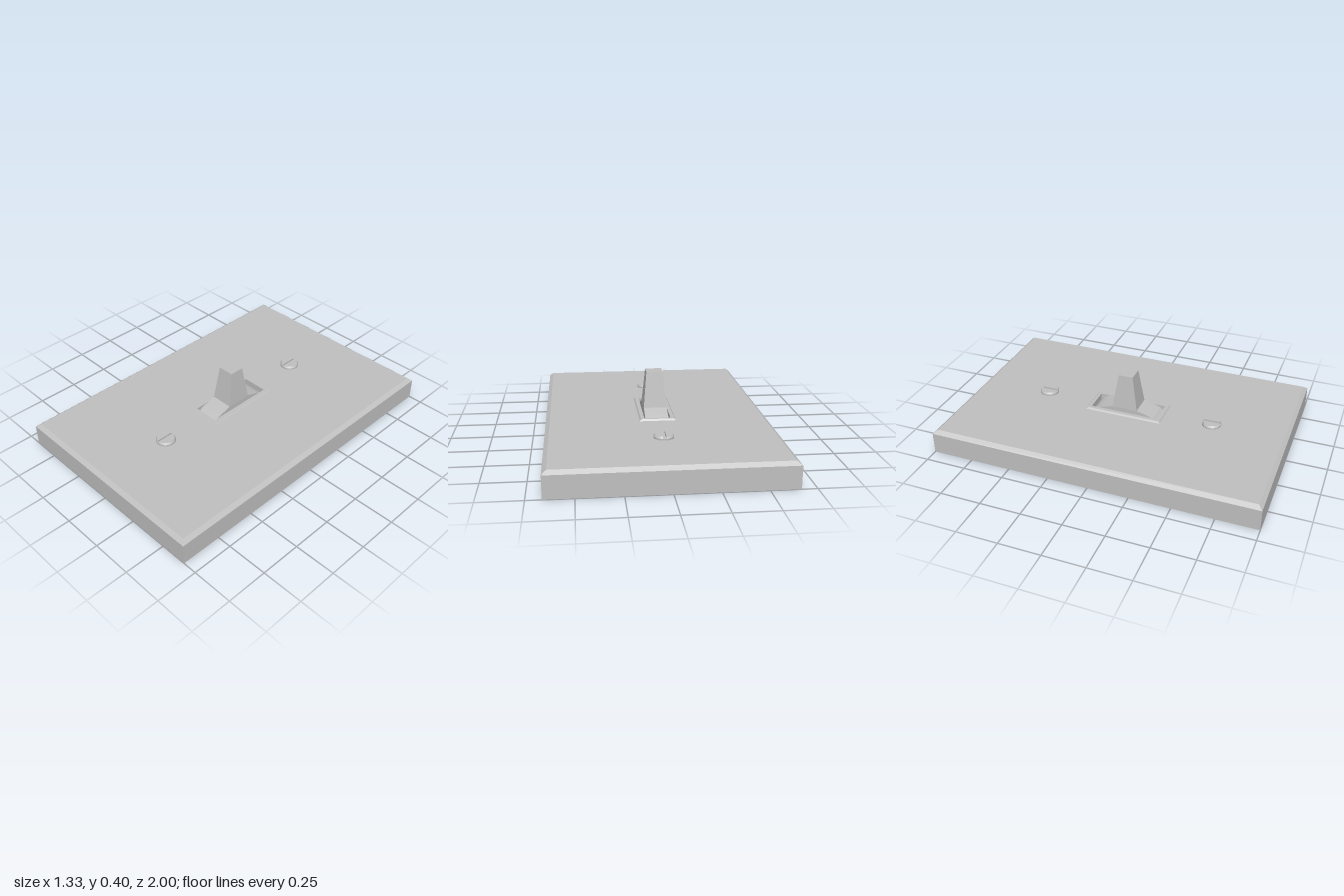
import * as THREE from 'three';

const grey = new THREE.MeshStandardMaterial({ color: 0xc0c0c0 });
grey.name = 'grey';

// Joins rectangular rings [halfX, halfZ, y], listed from the bottom outward and over.
function rectLoft(rings, capStart, capEnd) {
  const pos = [];
  const corners = ([x, z, y]) => [[-x, y, z], [x, y, z], [x, y, -z], [-x, y, -z]];
  const quad = (a, b, c, d) => pos.push(...a, ...b, ...c, ...a, ...c, ...d);
  for (let i = 0; i < rings.length - 1; i++) {
    const lo = corners(rings[i]), hi = corners(rings[i + 1]);
    for (let k = 0; k < 4; k++) {
      const n = (k + 1) % 4;
      quad(lo[k], lo[n], hi[n], hi[k]);
    }
  }
  if (capStart) quad(...corners(rings[0]).reverse());
  if (capEnd) quad(...corners(rings[rings.length - 1]));
  const g = new THREE.BufferGeometry();
  g.setAttribute('position', new THREE.Float32BufferAttribute(pos, 3));
  g.computeVertexNormals();
  return g;
}

function part(name, geometry, parent) {
  const m = new THREE.Mesh(geometry, grey);
  m.name = name;
  parent.add(m);
  return m;
}

// Half of a slotted screw head, narrowing towards its top.
function halfHead(radius, gap, height) {
  const a = Math.acos(gap / radius);
  const shape = new THREE.Shape();
  shape.absarc(0, 0, radius, -a, a, false);
  shape.closePath();
  const g = new THREE.ExtrudeGeometry(shape, { depth: height, bevelEnabled: false, curveSegments: 16 });
  g.rotateX(-Math.PI / 2);
  const p = g.attributes.position;
  for (let i = 0; i < p.count; i++) {
    if (p.getY(i) > height / 2) {
      p.setX(i, gap + (p.getX(i) - gap) * 0.85);
      p.setZ(i, p.getZ(i) * 0.87);
    }
  }
  g.computeVertexNormals();
  return g;
}

export function createModel() {
  const model = new THREE.Group();
  model.name = 'toggleSwitch';

  // Wall plate with bevelled rim and a recess for the switch
  part('wallPlate', rectLoft([
    [0.665, 1, 0], [0.665, 1, 0.13], [0.64, 0.975, 0.15],
    [0.078, 0.215, 0.15], [0.078, 0.215, 0.11],
  ], true, true), model);

  // Raised frame around the opening
  part('openingFrame', rectLoft([
    [0.108, 0.242, 0.15], [0.1, 0.234, 0.16], [0.078, 0.215, 0.16], [0.078, 0.215, 0.11],
  ], false, false), model);

  // Curved rocker below the lever
  const side = [[0.21, 0.11], [0.205, 0.135], [0.185, 0.15], [0.16, 0.16], [0.08, 0.183]];
  const outline = [...side, ...side.map(([z, y]) => [-z, y]).reverse()];
  const rocker = new THREE.ExtrudeGeometry(
    new THREE.Shape(outline.map(([z, y]) => new THREE.Vector2(z, y))),
    { depth: 0.14, bevelEnabled: false });
  rocker.translate(0, 0, -0.07);
  rocker.rotateY(Math.PI / 2);
  part('rocker', rocker, model);

  // Tapered lever
  part('lever', rectLoft([[0.07, 0.08, 0.18], [0.05, 0.045, 0.4]], false, true), model);

  // Two slotted screws
  for (const z of [-0.543, 0.537]) {
    const screw = new THREE.Group();
    screw.name = z < 0 ? 'backScrew' : 'frontScrew';
    screw.position.set(0, 0.15, z);
    const base = new THREE.CylinderGeometry(0.058, 0.058, 0.01, 32);
    base.translate(0, 0.005, 0);
    part('screwBase', base, screw);
    for (const turn of [0, Math.PI]) {
      const half = part('screwHalf', halfHead(0.058, 0.01, 0.011), screw);
      half.position.y = 0.01;
      half.rotation.y = turn;
    }
    model.add(screw);
  }
  return model;
}
